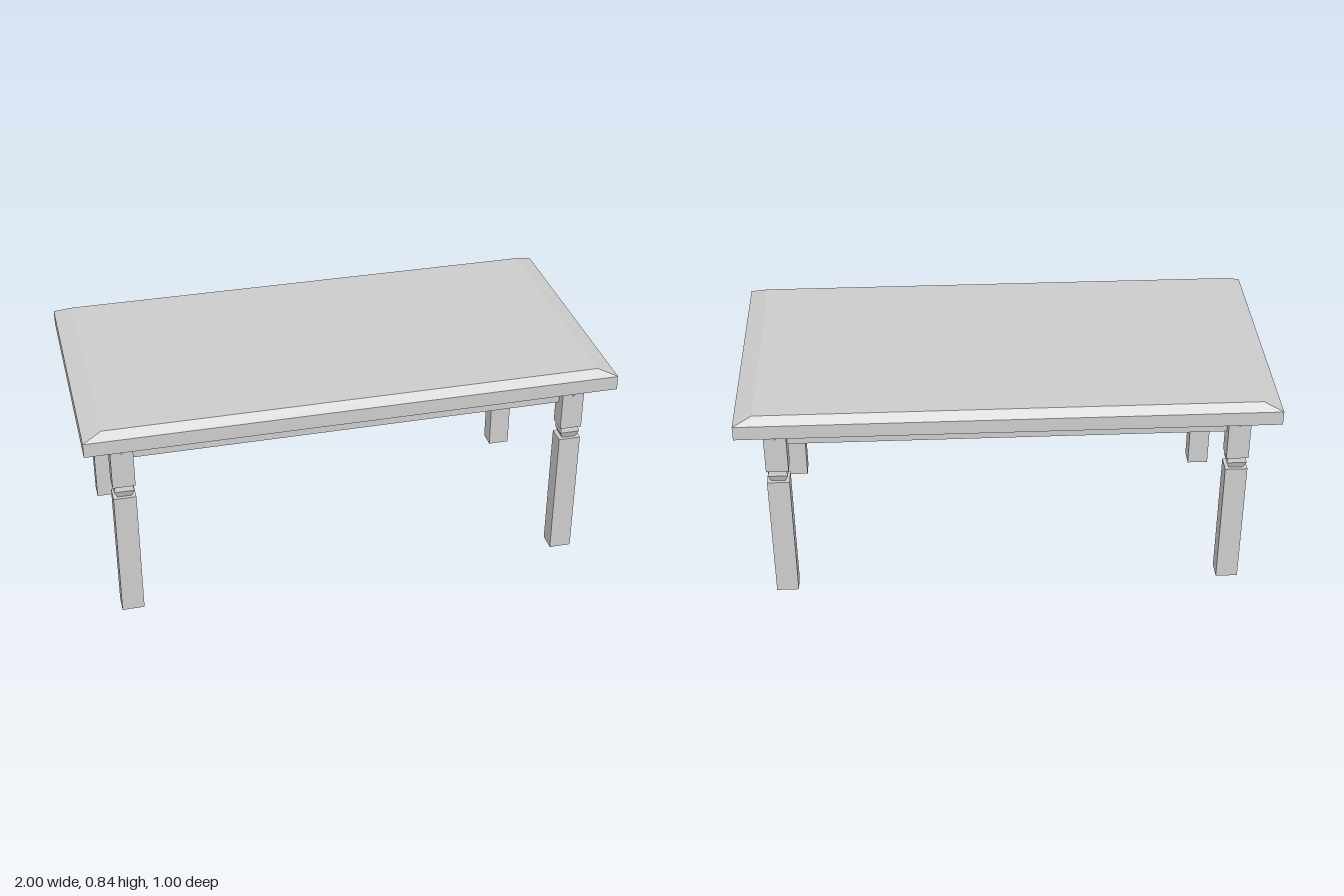
import * as THREE from 'three';

const material = new THREE.MeshStandardMaterial({ color: 0xcccccc, flatShading: true });

function add(parent, name, geometry, x = 0, y = 0, z = 0) {
  const mesh = new THREE.Mesh(geometry, material);
  mesh.name = name;
  mesh.position.set(x, y, z);
  parent.add(mesh);
  return mesh;
}

// Square-section leg: profile of [share of half width, height]
function legGeometry(width, depth) {
  const profile = [
    [0, 0], [1, 0], [1, 0.513], [0.62, 0.513], [0.9, 0.54],
    [0.74, 0.562], [1, 0.562], [1, 0.76], [0, 0.76],
  ].map(([r, y]) => new THREE.Vector2(r * Math.SQRT1_2, y));
  const geometry = new THREE.LatheGeometry(profile, 4);
  geometry.rotateY(Math.PI / 4);
  geometry.scale(width, 1, depth);
  return geometry;
}

// Box whose upper face is drawn in to leave sloped borders
function bevelGeometry(width, height, depth, insetX, insetZ) {
  const geometry = new THREE.BoxGeometry(width, height, depth);
  const p = geometry.attributes.position;
  for (let i = 0; i < p.count; i++) {
    if (p.getY(i) > 0) {
      p.setX(i, p.getX(i) - Math.sign(p.getX(i)) * insetX);
      p.setZ(i, p.getZ(i) - Math.sign(p.getZ(i)) * insetZ);
    }
  }
  geometry.computeVertexNormals();
  return geometry;
}

export function createModel() {
  const table = new THREE.Group();
  table.name = 'diningTable';

  // Top slab with bevelled upper border
  add(table, 'tabletop', new THREE.BoxGeometry(2, 0.055, 1), 0, 0.7875, 0);
  add(table, 'tabletopBevel', bevelGeometry(2, 0.025, 1, 0.07, 0.034), 0, 0.8275, 0);

  // Legs with a small peg on the outer long side
  const leg = legGeometry(0.084, 0.071);
  const peg = new THREE.CylinderGeometry(0.004, 0.004, 0.006, 8).rotateX(Math.PI / 2);
  for (const sx of [-1, 1]) {
    for (const sz of [-1, 1]) {
      const name = (sz > 0 ? 'front' : 'back') + (sx > 0 ? 'Left' : 'Right');
      add(table, name + 'Leg', leg, sx * 0.86, 0, sz * 0.3895);
      add(table, name + 'Peg', peg, sx * 0.86, 0.705, sz * 0.425);
    }
  }

  // Aprons joining the legs under the top
  for (const s of [-1, 1]) {
    add(table, s > 0 ? 'frontApron' : 'backApron',
      new THREE.BoxGeometry(1.73, 0.097, 0.041), 0, 0.7115, s * 0.3695);
    add(table, s > 0 ? 'leftApron' : 'rightApron',
      new THREE.BoxGeometry(0.048, 0.097, 0.7), s * 0.836, 0.7115, 0);
  }

  return table;
}
